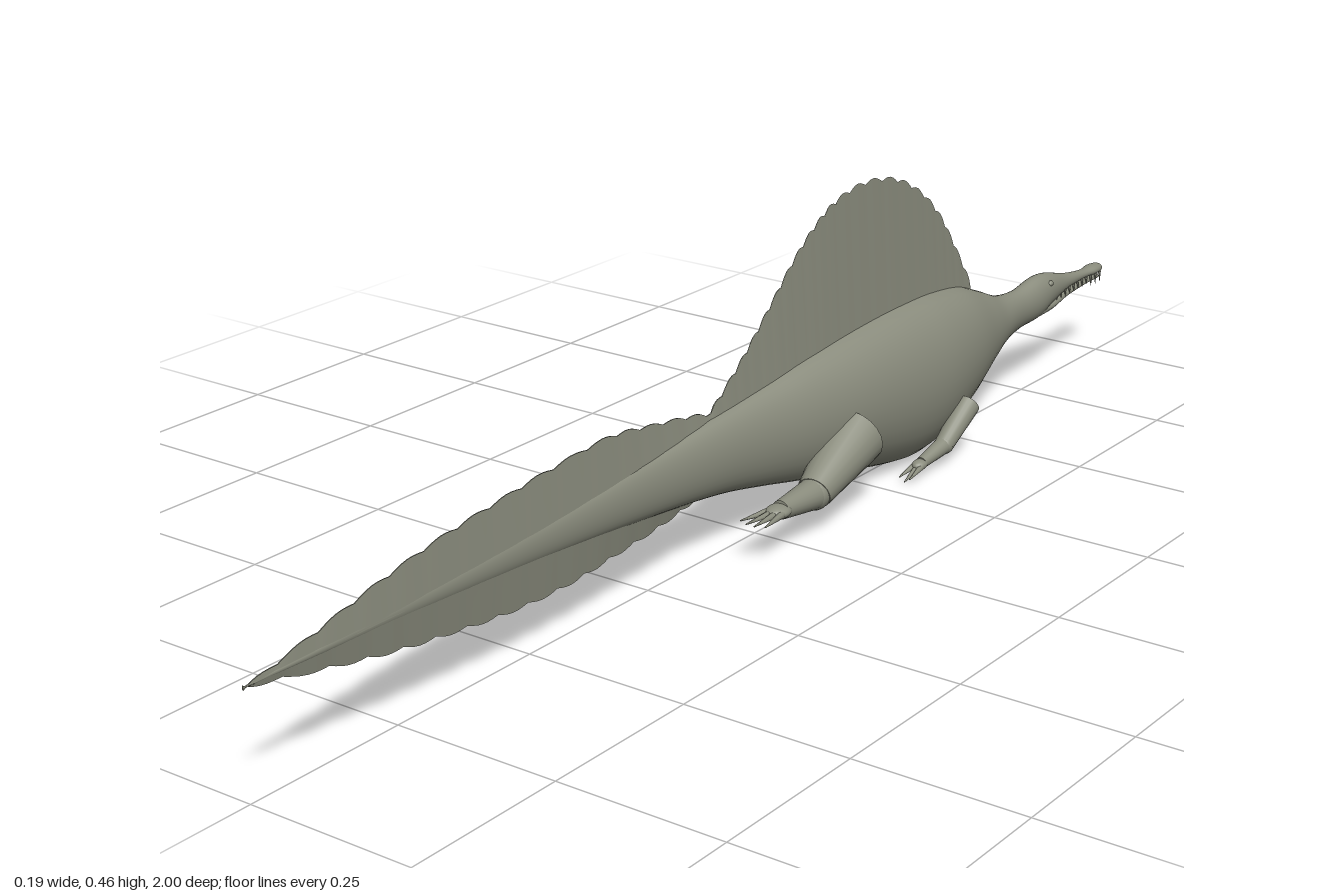
import * as THREE from 'three';

const skin = new THREE.MeshStandardMaterial({ color: 0x8b8d7e });
skin.name = 'olive grey skin';
skin.side = THREE.DoubleSide;

function add(parent, name, geometry) {
  const mesh = new THREE.Mesh(geometry, skin);
  mesh.name = name;
  parent.add(mesh);
  return mesh;
}

function indexed(positions, index) {
  const g = new THREE.BufferGeometry();
  g.setAttribute('position', new THREE.Float32BufferAttribute(positions, 3));
  g.setIndex(index);
  g.computeVertexNormals();
  return g;
}

// Smooth curve through column k of rows [z, a, b, ...]
const column = (rows, k) => new THREE.SplineCurve(rows.map(r => new THREE.Vector2(r[0], r[k])));

// Elliptical loft along z from rows [z, top, bottom, halfWidth]
function loft(rows, steps, sides = 32) {
  const [top, bottom, width] = [1, 2, 3].map(k => column(rows, k));
  const pos = [], index = [];
  for (let i = 0; i <= steps; i++) {
    const t = i / steps, p = top.getPoint(t), b = bottom.getPoint(t).y, w = width.getPoint(t).y;
    for (let j = 0; j < sides; j++) {
      const a = j / sides * Math.PI * 2;
      pos.push(w * Math.cos(a), (p.y + b) / 2 + (p.y - b) / 2 * Math.sin(a), p.x);
      if (i === steps) continue;
      const q = i * sides + j, r = i * sides + (j + 1) % sides;
      index.push(q, r, q + sides, r, r + sides, q + sides);
    }
  }
  return indexed(pos, index);
}

// Wedge-shaped fin from rows [z, edgeY, baseY, halfThickness] with a scalloped edge
function fin(rows, scallops, depth) {
  const [edge, base, thick] = [1, 2, 3].map(k => column(rows, k));
  const steps = scallops * 6, pos = [], index = [];
  for (const s of [1, -1]) {
    const start = pos.length / 3;
    for (let i = 0; i <= steps; i++) {
      const t = i / steps, e = edge.getPoint(t), b = base.getPoint(t).y, w = thick.getPoint(t).y;
      const up = Math.sign(e.y - b);
      const y = e.y - up * depth * (1 - Math.abs(Math.sin(t * scallops * Math.PI)));
      pos.push(s * w, b, e.x, s * 0.0006, y, e.x);
      if (i === steps) continue;
      const q = start + i * 2;
      if (s * up > 0) index.push(q, q + 1, q + 2, q + 1, q + 3, q + 2);
      else index.push(q, q + 2, q + 1, q + 1, q + 2, q + 3);
    }
  }
  return indexed(pos, index);
}

// Tapered limb segment between two points
function limb(parent, name, from, to, r0, r1, sides = 20) {
  const a = new THREE.Vector3(...from), b = new THREE.Vector3(...to);
  const dir = b.clone().sub(a);
  const mesh = add(parent, name, new THREE.CylinderGeometry(r1, r0, dir.length(), sides));
  mesh.position.copy(a).add(b).multiplyScalar(0.5);
  mesh.quaternion.setFromUnitVectors(new THREE.Vector3(0, 1, 0), dir.normalize());
}

function ball(parent, name, at, rx, ry, rz) {
  const mesh = add(parent, name, new THREE.SphereGeometry(1, 20, 14));
  mesh.position.set(...at);
  mesh.scale.set(rx, ry, rz);
}

export function createModel() {
  const model = new THREE.Group();
  model.name = 'sail-backed swimming reptile';

  // Body from snout tip to tail tip
  add(model, 'body', loft([
    [-1.0, 0.154, 0.151, 0.002], [-0.992, 0.16, 0.146, 0.01], [-0.97, 0.162, 0.145, 0.013],
    [-0.94, 0.161, 0.146, 0.009], [-0.88, 0.17, 0.142, 0.012], [-0.82, 0.186, 0.13, 0.02],
    [-0.78, 0.189, 0.118, 0.023], [-0.72, 0.181, 0.115, 0.022], [-0.66, 0.188, 0.105, 0.032],
    [-0.6, 0.212, 0.078, 0.046], [-0.53, 0.238, 0.042, 0.062], [-0.45, 0.25, 0.013, 0.073],
    [-0.38, 0.253, 0.003, 0.076], [-0.3, 0.252, 0.013, 0.074], [-0.2, 0.246, 0.035, 0.067],
    [-0.1, 0.236, 0.053, 0.055], [0, 0.222, 0.075, 0.04], [0.1, 0.21, 0.094, 0.029],
    [0.25, 0.195, 0.11, 0.018], [0.45, 0.18, 0.125, 0.011], [0.7, 0.167, 0.138, 0.007],
    [0.9, 0.158, 0.147, 0.004], [1.0, 0.153, 0.151, 0.0005],
  ], 132));

  // Lower jaw
  add(model, 'lowerJaw', loft([
    [-0.992, 0.142, 0.14, 0.002], [-0.98, 0.144, 0.136, 0.009], [-0.95, 0.144, 0.135, 0.008],
    [-0.88, 0.143, 0.13, 0.01], [-0.82, 0.141, 0.122, 0.016], [-0.76, 0.14, 0.118, 0.014],
  ], 30, 20));

  // Back sail
  add(model, 'backSail', fin([
    [0.105, 0.222, 0.2, 0.004], [0.05, 0.262, 0.2, 0.006], [0, 0.304, 0.2, 0.008],
    [-0.05, 0.35, 0.21, 0.01], [-0.1, 0.395, 0.21, 0.011], [-0.15, 0.43, 0.22, 0.012],
    [-0.2, 0.453, 0.22, 0.012], [-0.27, 0.464, 0.22, 0.012], [-0.35, 0.453, 0.22, 0.012],
    [-0.42, 0.42, 0.22, 0.011], [-0.48, 0.37, 0.21, 0.01], [-0.53, 0.305, 0.21, 0.008],
    [-0.578, 0.235, 0.2, 0.004],
  ], 22, 0.007));

  // Tail fins above and below
  add(model, 'upperTailFin', fin([
    [0.08, 0.213, 0.17, 0.01], [0.15, 0.228, 0.16, 0.011], [0.24, 0.242, 0.155, 0.011],
    [0.33, 0.253, 0.153, 0.01], [0.45, 0.246, 0.152, 0.009], [0.56, 0.235, 0.152, 0.008],
    [0.67, 0.222, 0.152, 0.007], [0.78, 0.202, 0.152, 0.006], [0.89, 0.177, 0.152, 0.004],
    [1.0, 0.153, 0.152, 0.001],
  ], 16, 0.005));
  add(model, 'lowerTailFin', fin([
    [0.14, 0.098, 0.13, 0.01], [0.22, 0.086, 0.14, 0.011], [0.32, 0.077, 0.145, 0.01],
    [0.42, 0.07, 0.15, 0.009], [0.53, 0.073, 0.151, 0.008], [0.64, 0.085, 0.151, 0.007],
    [0.75, 0.1, 0.151, 0.006], [0.87, 0.123, 0.151, 0.004], [1.0, 0.15, 0.151, 0.001],
  ], 15, 0.005));

  for (const s of [1, -1]) {
    const side = s > 0 ? 'left' : 'right';

    // Hind leg with webbed-looking four-toed foot
    const hind = new THREE.Group();
    hind.name = side + 'HindLeg';
    model.add(hind);
    limb(hind, 'thigh', [s * 0.05, 0.108, -0.178], [s * 0.068, 0.064, -0.05], 0.047, 0.026);
    ball(hind, 'knee', [s * 0.068, 0.064, -0.05], 0.025, 0.025, 0.025);
    limb(hind, 'shin', [s * 0.068, 0.064, -0.05], [s * 0.073, 0.069, 0.04], 0.024, 0.014);
    ball(hind, 'foot', [s * 0.073, 0.069, 0.045], 0.018, 0.01, 0.022);
    for (let i = 0; i < 4; i++) {
      const d = (i - 1.5) / 1.5;
      limb(hind, 'toe', [s * 0.073 + d * 0.011, 0.069, 0.05],
        [s * 0.073 + d * 0.021, 0.07, 0.116 - Math.abs(d) * 0.01], 0.006, 0.001, 8);
    }

    // Front leg
    const front = new THREE.Group();
    front.name = side + 'FrontLeg';
    model.add(front);
    limb(front, 'upperArm', [s * 0.071, 0.077, -0.464], [s * 0.074, 0.034, -0.392], 0.019, 0.015);
    ball(front, 'elbow', [s * 0.074, 0.034, -0.392], 0.015, 0.015, 0.015);
    limb(front, 'forearm', [s * 0.074, 0.034, -0.392], [s * 0.073, 0.023, -0.33], 0.014, 0.009);
    ball(front, 'hand', [s * 0.073, 0.022, -0.325], 0.011, 0.008, 0.015);
    for (let i = -1; i <= 1; i++) {
      limb(front, 'finger', [s * 0.073 + i * 0.006, 0.021, -0.32],
        [s * 0.073 + i * 0.009, i ? 0.013 : 0.007, -0.283], 0.005, 0.001, 8);
    }

    // Eye bump and teeth along the jaw
    ball(model, side + 'Eye', [s * 0.016, 0.174, -0.805], 0.005, 0.005, 0.007);
    for (let i = 0; i < 11; i++) {
      const z = -0.985 + i * 0.015, x = i < 3 ? 0.009 : 0.007 + i * 0.0005;
      limb(model, side + 'Tooth', [s * x, 0.149, z], [s * (x + 0.001), i < 3 ? 0.131 : 0.137, z], 0.0025, 0.0003, 6);
    }
  }
  return model;
}
